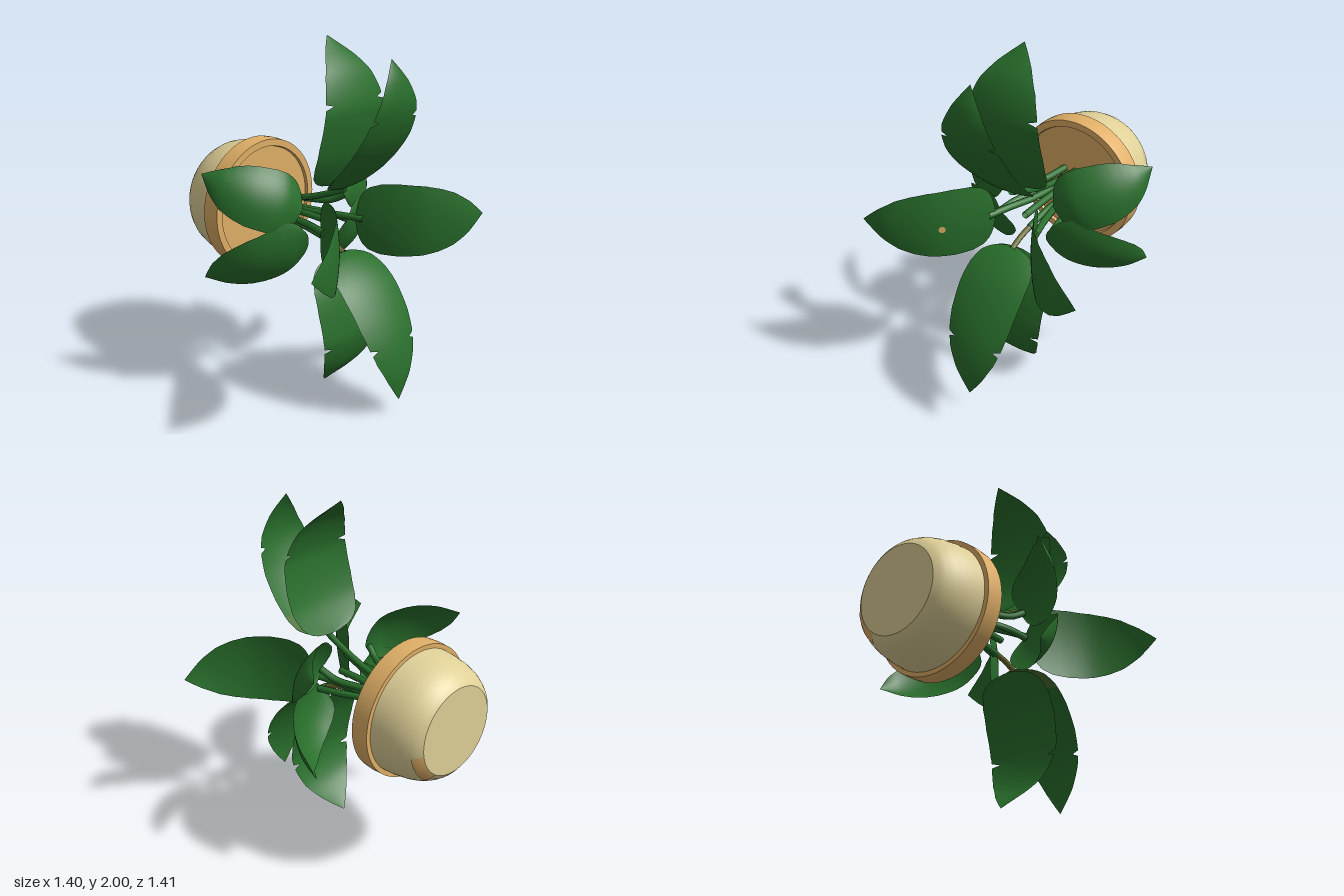
import * as THREE from 'three';
import { toCreasedNormals } from 'three/addons/utils/BufferGeometryUtils.js';

const V = (x, y, z) => new THREE.Vector3(x, y, z);

function material(name, color) {
  const m = new THREE.MeshStandardMaterial({ color, side: THREE.DoubleSide });
  m.name = name;
  return m;
}

// half width along the blade, from base to tip
const PROFILE = [[0, 0.12], [0.015, 0.45], [0.04, 0.68], [0.09, 0.86], [0.18, 0.97], [0.32, 1], [0.5, 0.96],
  [0.62, 0.87], [0.73, 0.73], [0.86, 0.44], [0.94, 0.2], [1, 0]];

function widthAt(t) {
  let i = 1;
  while (i < PROFILE.length - 1 && PROFILE[i][0] < t) i++;
  const [a, wa] = PROFILE[i - 1], [b, wb] = PROFILE[i];
  return wa + (wb - wa) * (t - a) / (b - a);
}

// thin blade swept along a midline; edges cupped, optional nick, length cut at "end", raised by "lift"
function leafGeometry(points, across, half, cup, { notch = -1, end = 1, lift = 0 } = {}) {
  const curve = new THREE.CatmullRomCurve3(points);
  const rows = Math.round(60 * end), cols = 12, pos = [], index = [];
  for (let i = 0; i <= rows; i++) {
    const t = i / 60, p = curve.getPointAt(t);
    const tangent = curve.getTangentAt(t);
    const side = across.clone().addScaledVector(tangent, -across.dot(tangent)).normalize();
    const normal = tangent.clone().cross(side);
    const w = half * widthAt(t), nick = Math.abs(t - notch) < 0.008 ? 0.76 : 1;
    for (let j = 0; j <= cols; j++) {
      const u = (j / cols * 2 - 1) * nick;
      const q = p.clone().addScaledVector(side, u * w).addScaledVector(normal, cup * u * u * w / half + lift);
      pos.push(q.x, q.y, q.z);
      if (i < rows && j < cols) {
        const a = i * (cols + 1) + j, b = a + cols + 1;
        index.push(a, a + 1, b, a + 1, b + 1, b);
      }
    }
  }
  const g = new THREE.BufferGeometry();
  g.setAttribute('position', new THREE.Float32BufferAttribute(pos, 3));
  g.setIndex(index);
  g.computeVertexNormals();
  return g;
}

export function createModel() {
  const group = new THREE.Group();
  const green = material('leafGreen', 0x286e2b);
  const olive = material('oliveStem', 0x66672b);
  const mottled = material('mottledGreen', 0x4c7033);
  const cream = material('potCream', 0xdfd097);
  const tan = material('rimTan', 0xe0af67);

  const add = (name, geometry, mat) => {
    const mesh = new THREE.Mesh(geometry, mat);
    mesh.name = name;
    group.add(mesh);
    return mesh;
  };
  const leaf = (name, pts, across, half, cup, options, mat = green) =>
    add(name, leafGeometry(pts, across, half, cup, options), mat);
  const stem = (name, pts, r = 0.02, mat = green) =>
    add(name, new THREE.TubeGeometry(new THREE.CatmullRomCurve3(pts), 20, r, 8), mat);
  const lathe = (name, pts, mat, start = 0, sweep = Math.PI * 2) => {
    const profile = pts.map(p => new THREE.Vector2(...p));
    const g = new THREE.LatheGeometry(profile, 64, start, sweep).rotateX(Math.PI / 2);
    add(name, toCreasedNormals(g, 0.6), mat).position.y = 0.965;
  };

  // pot lying on its side, opening towards +z
  lathe('potBody', [[0, -0.705], [0.253, -0.705], [0.28, -0.685], [0.3, -0.66], [0.325, -0.615],
    [0.342, -0.56], [0.354, -0.49], [0.36, -0.42]], cream);
  lathe('potRim', [[0.35, -0.43], [0.385, -0.43], [0.388, -0.38], [0.385, -0.322],
    [0.345, -0.322], [0.34, -0.338], [0, -0.338]], tan);
  // worn patch near the foot of the pot
  lathe('potPatch', [[0.257, -0.705], [0.284, -0.687], [0.304, -0.662]], tan, 0.65, 0.75);

  // upright and hanging leaves, front pair, each with a mottled patch behind its base
  const X = V(1, 0, 0);
  const frontLeaves = {
    upper: [[1.185, 0.26], [1.23, 0.34], [1.37, 0.48], [1.53, 0.59], [1.7, 0.645], [1.82, 0.63], [1.93, 0.58]],
    lower: [[0.83, 0.26], [0.8, 0.34], [0.715, 0.46], [0.57, 0.575], [0.4, 0.66], [0.23, 0.7], [0.08, 0.695]],
  };
  for (const [key, yz] of Object.entries(frontLeaves)) {
    const s = key === 'upper' ? 1 : -1, pts = yz.map(([y, z]) => V(0, y, z));
    leaf(key + 'FrontLeaf', pts, X, 0.208, 0.025 * s, { notch: 0.65 });
    leaf(key + 'FrontLeafPatch', pts, X, 0.204, 0.025 * s, { end: 0.2, lift: 0.004 * s }, mottled);
  }

  // rear pair, mirrored about the stem axis
  for (const s of [1, -1]) {
    leaf(s > 0 ? 'upperRearLeaf' : 'lowerRearLeaf', [[0.2, 0.22], [0.38, 0.315], [0.59, 0.365],
      [0.67, 0.365], [0.84, 0.3], [1, 0.145]].map(([y, z]) => V(0, 1 + s * y, z)), X, 0.24, 0.02 * s, { notch: 0.567 });
  }

  // stems of the vertical leaves
  stem('upperStem', [V(0, 1.03, -0.34), V(0, 1.07, -0.05), V(0, 1.13, 0.14), V(0, 1.19, 0.28)], 0.018);
  stem('lowerStem', [V(0, 0.92, -0.34), V(0, 0.91, -0.05), V(0, 0.88, 0.12)], 0.018);
  stem('lowerStemEnd', [V(0, 0.88, 0.12), V(0, 0.86, 0.2), V(0, 0.825, 0.28)], 0.016, olive);
  stem('centreStem', [V(0, 0.98, -0.34), V(0, 0.985, 0), V(0, 0.98, 0.16)]);

  for (const s of [1, -1]) {
    const side = s > 0 ? 'left' : 'right';
    // side leaves
    leaf(side + 'SideLeaf', [[0.14, 0.24], [0.18, 0.33], [0.25, 0.45], [0.34, 0.555], [0.455, 0.635],
      [0.57, 0.685], [0.7, 0.7]].map(([x, z]) => V(s * x, 0.98, z)), V(0, 1, 0), 0.21, -0.018 * s);
    stem(side + 'SideStem', [V(s * 0.05, 0.97, -0.34), V(s * 0.075, 0.97, -0.05),
      V(s * 0.12, 0.98, 0.14), V(s * 0.16, 0.98, 0.28)]);

    // diagonal leaves that arch back towards the pot
    for (const k of [1, -1]) {
      const name = side + (k > 0 ? 'Upper' : 'Lower') + 'DiagonalLeaf';
      const base = k > 0 ? V(s * 0.17, 1.08, 0.13) : V(s * 0.16, 0.94, 0.16);
      const at = (x, y, z) => V(s * x, 0.995 + k * y, z);
      leaf(name, [base, at(0.3, 0.15, 0.115), at(0.435, 0.205, 0.03), at(0.53, 0.255, -0.1),
        at(0.56, 0.295, -0.235)], V(s * 0.46, -0.89 * k, 0.15), 0.172, 0.045 * s * k);
      stem(name.replace('Leaf', 'Stem'), [at(0.075, 0.03, -0.34), at(0.1, 0.03, -0.15),
        at(0.16, 0.04, 0.03), base.clone().add(V(s * 0.02, 0, -0.01))]);
    }
  }

  // small blemish on one side leaf
  const spot = add('leafSpot', new THREE.CircleGeometry(0.02, 10), tan);
  spot.position.set(-0.295, 0.96, 0.514);
  spot.rotation.y = 0.84;
  return group;
}
